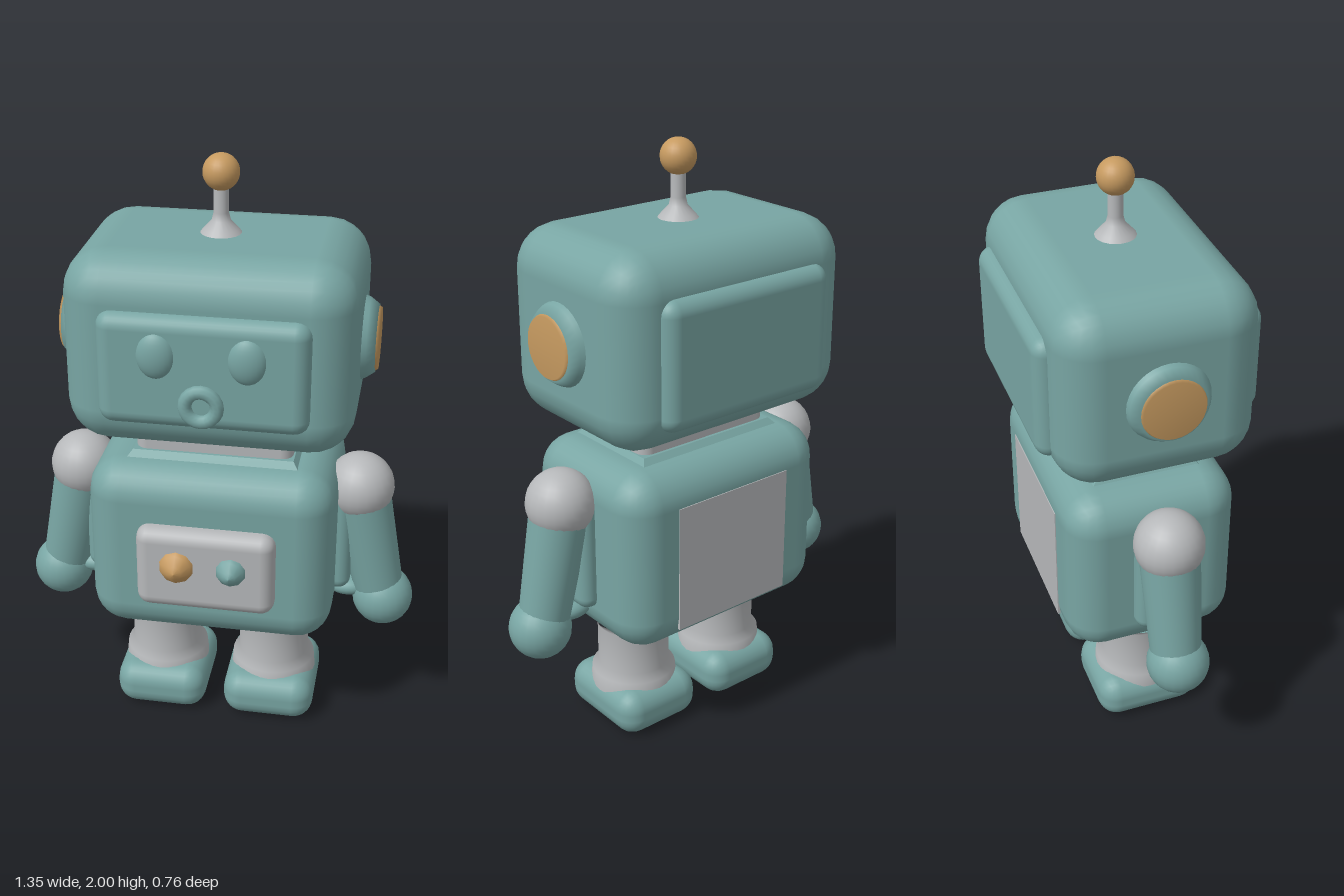
import * as THREE from 'three';
import { RoundedBoxGeometry } from 'three/addons/geometries/RoundedBoxGeometry.js';

export function createModel() {
  const teal = new THREE.MeshStandardMaterial({ color: 0x78a5a3 });
  const grey = new THREE.MeshStandardMaterial({ color: 0xb6b8ba });
  const orange = new THREE.MeshStandardMaterial({ color: 0xc69a60 });
  teal.name = 'teal paint';
  grey.name = 'grey metal';
  orange.name = 'orange trim';

  const robot = new THREE.Group();
  robot.name = 'toyRobot';

  function add(name, geometry, material, x, y, z) {
    const mesh = new THREE.Mesh(geometry, material);
    mesh.name = name;
    mesh.position.set(x, y, z);
    robot.add(mesh);
    return mesh;
  }
  const box = (w, h, d, r, seg = 3) => new RoundedBoxGeometry(w, h, d, seg, r);
  const ball = (r) => new THREE.SphereGeometry(r, 24, 16);
  const lathe = (pts, seg = 32) =>
    new THREE.LatheGeometry(pts.map(([r, y]) => new THREE.Vector2(r, y)), seg);

  // Flared block with a rectangular outline
  function flare(wBottom, dBottom, wTop, dTop, h) {
    const g = new THREE.BoxGeometry(1, h, 1);
    const p = g.attributes.position;
    for (let i = 0; i < p.count; i++) {
      const top = p.getY(i) > 0;
      p.setX(i, p.getX(i) * (top ? wTop : wBottom));
      p.setZ(i, p.getZ(i) * (top ? dTop : dBottom));
    }
    g.computeVertexNormals();
    return g;
  }

  // Head with raised face and back plates
  add('head', box(0.92, 0.635, 0.65, 0.14), teal, 0, 1.433, -0.015);
  add('facePlate', box(0.66, 0.37, 0.14, 0.05), teal, 0, 1.415, 0.28);
  add('headBackPlate', box(0.66, 0.42, 0.14, 0.05), teal, 0, 1.41, -0.308);

  // Mouth ring
  add('mouth', new THREE.TorusGeometry(0.05, 0.022, 10, 20), teal, 0, 1.32, 0.353);

  // Neck
  add('neck', box(0.52, 0.14, 0.3, 0.04), grey, 0, 1.06, -0.01);
  add('neckUpperCollar', flare(0.51, 0.3, 0.6, 0.38, 0.05), teal, 0, 1.106, -0.01);
  add('neckLowerCollar', flare(0.58, 0.38, 0.53, 0.32, 0.03), teal, 0, 1.033, -0.01);

  // Antenna
  add('antennaBase', lathe([[0.07, 0], [0.055, 0.018], [0.03, 0.045], [0.024, 0.07], [0.024, 0.17]], 20),
    grey, 0, 1.745, -0.015);
  add('antennaBall', ball(0.058), orange, 0, 1.942, -0.015);

  // Body, chest panel and back panel
  add('body', box(0.82, 0.63, 0.58, 0.12), teal, 0, 0.715, -0.013);
  add('chestPanel', box(0.46, 0.295, 0.14, 0.045), grey, 0, 0.698, 0.262);
  add('backPanel', new THREE.BoxGeometry(0.46, 0.44, 0.008), grey, 0, 0.69, -0.302);

  // Chest knobs
  const knob = (name, r, material, x) => {
    const m = add(name, lathe([[r, 0], [r * 0.85, 0.018], [r * 0.4, 0.042], [0, 0.05]], 10), material, x, 0.72, 0.328);
    m.rotation.x = Math.PI / 2;
  };
  knob('orangeKnob', 0.06, orange, -0.09);
  knob('tealKnob', 0.052, teal, 0.09);

  // Mirrored parts
  for (const s of [1, -1]) {
    const side = s > 0 ? 'left' : 'right';

    // Eye
    const eye = add(side + 'Eye', ball(0.07), teal, s * 0.14, 1.475, 0.335);
    eye.scale.set(0.9, 1.12, 0.55);

    // Ear with orange disc
    const ear = add(side + 'Ear', lathe([[0.14, 0], [0.128, 0.03], [0.108, 0.058], [0, 0.058]]), teal, s * 0.445, 1.43, -0.012);
    ear.rotation.z = -s * Math.PI / 2;
    const disc = add(side + 'EarDisc', lathe([[0.105, 0], [0.098, 0.012], [0, 0.012]]), orange, s * 0.5, 1.43, -0.012);
    disc.rotation.z = -s * Math.PI / 2;

    // Shoulder, arm and hand
    add(side + 'ArmJoint', box(0.12, 0.42, 0.18, 0.04), teal, s * 0.4, 0.73, -0.008);
    add(side + 'Shoulder', ball(0.115), grey, s * 0.475, 0.897, -0.005);
    const arm = add(side + 'Arm', new THREE.CylinderGeometry(0.1, 0.084, 0.4, 24), teal, s * 0.52, 0.68, -0.005);
    arm.rotation.z = s * 0.21;
    add(side + 'Hand', ball(0.104), teal, s * 0.572, 0.472, -0.003);
    const web = add(side + 'HandBridge', ball(0.05), teal, s * 0.45, 0.5, -0.005);
    web.scale.set(1.5, 0.7, 1);

    // Leg flaring at hip and ankle
    add(side + 'Leg', lathe([[0.15, 0.13], [0.145, 0.185], [0.123, 0.21], [0.123, 0.36], [0.14, 0.385], [0.175, 0.415]]),
      grey, s * 0.195, 0, -0.008);

    // Foot
    add(side + 'Foot', box(0.32, 0.165, 0.365, 0.07), teal, s * 0.193, 0.0825, -0.002);
  }
  return robot;
}
